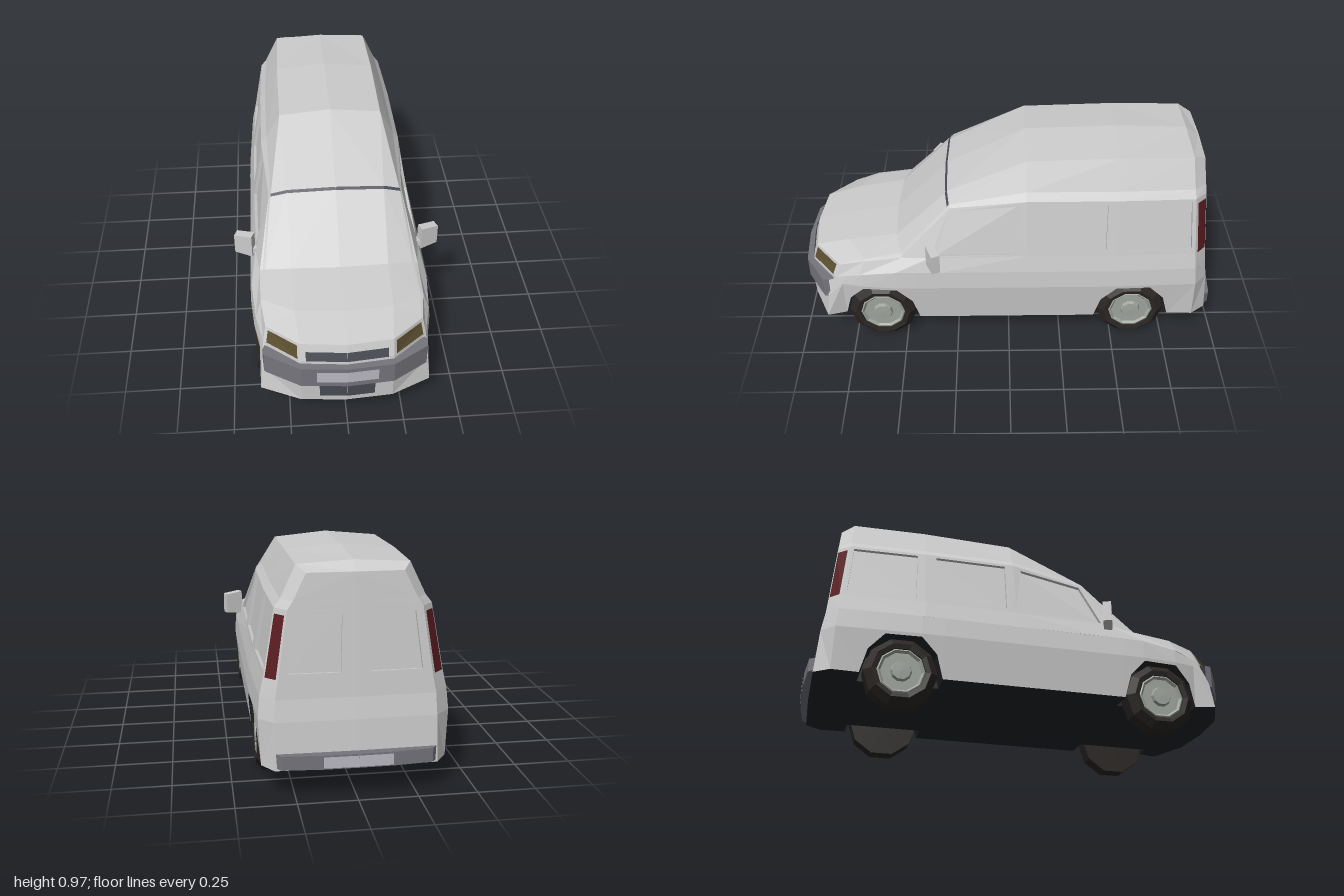
import * as THREE from 'three';

const mat = (color) => new THREE.MeshStandardMaterial({ color, flatShading: true, side: THREE.DoubleSide });
const GREY = mat(0xcccccc), DARK = mat(0x222426), TRIM = mat(0x77757d), GRILLE = mat(0x4a4c54);
const PLATE = mat(0xbcbac4), LAMP = mat(0x5c4f30), TAIL = mat(0x5a1c20), TYRE = mat(0x2a2624), HUB = mat(0xa0a69e);

const lerp = (a, b, t) => a + (b - a) * t;
const lerp3 = (a, b, t) => a.map((v, i) => lerp(v, b[i], t));

// Adds a quad and its mirror image across x = 0
function quad(pos, a, b, c, d) {
  const m = (p) => [-p[0], p[1], p[2]];
  pos.push(...a, ...b, ...c, ...a, ...c, ...d);
  pos.push(...m(a), ...m(c), ...m(b), ...m(a), ...m(d), ...m(c));
}

// Corners of a sub-rectangle of grid cell (i, j), pushed along the cell normal
function cellRect(cols, i, j, [u0, u1, v0, v1], off = 0) {
  const a = cols[i][j], b = cols[i + 1][j], c = cols[i + 1][j + 1], d = cols[i][j + 1];
  const at = (u, v) => lerp3(lerp3(a, b, u), lerp3(d, c, u), v);
  const V = (p) => new THREE.Vector3(...p);
  const n = V(c).sub(V(a)).cross(V(b).sub(V(d))).normalize().multiplyScalar(off);
  return [at(u1, v0), at(u0, v0), at(u0, v1), at(u1, v1)]
    .map((p) => [p[0] + n.x, p[1] + n.y, p[2] + n.z]);
}

// Skins columns of points; cells listed in windows become recessed panes
function skin(cols, windows = {}, j0 = 0, j1 = cols[0].length - 1) {
  const pos = [];
  for (let i = 0; i < cols.length - 1; i++) {
    for (let j = j0; j < j1; j++) {
      const O = cellRect(cols, i, j, [0, 1, 0, 1]);
      const w = windows[i + ',' + j];
      if (!w) { quad(pos, ...O); continue; }
      const I = cellRect(cols, i, j, w), P = cellRect(cols, i, j, w, -0.014);
      for (let k = 0; k < 4; k++) {
        const n = (k + 1) % 4;
        quad(pos, O[k], O[n], I[n], I[k]);
        quad(pos, I[k], I[n], P[n], P[k]);
      }
      quad(pos, ...P);
    }
  }
  return pos;
}

function mesh(name, pos, material) {
  const g = new THREE.BufferGeometry();
  g.setAttribute('position', new THREE.Float32BufferAttribute(pos, 3));
  g.computeVertexNormals();
  const m = new THREE.Mesh(g, material);
  m.name = name;
  return m;
}

function patch(name, cols, cells, rect, material) {
  const pos = [];
  for (const [i, j] of cells) quad(pos, ...cellRect(cols, i, j, rect, 0.004));
  return mesh(name, pos, material);
}

// Half cross-section [x, y]: belt, window sill, window top, gutter, roof edge, roof centre
const PROFILE = [[0.401, 0.42], [0.383, 0.5], [0.333, 0.778], [0.306, 0.812], [0.24, 0.947], [0, 0.97]];

// Upper body columns, from rear centre round the side to nose centre
function upperColumns() {
  // Rear columns lean forward with height and are capped below the roof
  const rear = (z, width, cap) => PROFILE.map(([x, y]) => {
    const h = Math.min(y, cap);
    return [x * width, h, z + (h - 0.42) * 0.08];
  });
  const side = (z, drop) => PROFILE.map(([x, y]) => [x, y > 0.9 ? y - drop : y, z]);
  const nose = (belt, edge, tip) => [belt, edge, edge, edge, edge, tip];
  const hoodMid = [0.2, 0.435, 0.92], hoodTip = [0, 0.435, 0.94];

  const header = [[0.402, 0.42, 0.32], [0.378, 0.49, 0.37], [0.305, 0.725, 0.27],
    [0.295, 0.738, 0.27], [0.22, 0.762, 0.28], [0, 0.772, 0.285]];
  const cowl = [[0.4, 0.42, 0.53], [0.36, 0.48, 0.5], [0.345, 0.487, 0.5],
    [0.335, 0.49, 0.505], [0.22, 0.51, 0.53], [0, 0.513, 0.54]];
  const hoodCorner = [0.335, 0.43, 0.79];
  const hoodEnd = [[0.355, 0.36, 0.82], [0.342, 0.425, 0.795], hoodCorner, hoodCorner, hoodMid, hoodTip];
  // The hood bulges a little between cowl and nose
  const hood = cowl.map((p, i) => {
    const [x, y, z] = lerp3(p, hoodEnd[i], 0.6);
    return [x * 1.03, y + 0.01, z];
  });
  return [
    rear(-0.935, 0, 0.922), rear(-0.93, 0.82, 0.922), rear(-0.875, 0.965, 0.96),
    side(-0.5, 0), side(-0.08, 0.012), header, cowl, hood, hoodEnd,
    nose([0.2, 0.36, 0.945], hoodMid, hoodTip), nose([0, 0.36, 0.965], hoodTip, hoodTip),
  ];
}

// Lower body columns: floor centre, floor edge, arch inner, sill, flank, belt
function lowerColumns(upper) {
  const belt = upper.map((c) => c[0]), run = belt.slice(2, 9);
  const beltAt = (z) => {
    const k = Math.max(1, run.findIndex((p) => p[2] >= z));
    return lerp3(run[k - 1], run[k], (z - run[k - 1][2]) / (run[k][2] - run[k - 1][2]));
  };
  const col = (sill, flank, top) => {
    const fx = Math.min(0.28, sill[0]);
    return [[0, 0.13, sill[2]], [fx, 0.13, sill[2]], [fx, sill[1], sill[2]], sill, flank, top];
  };
  const cols = [
    col([0, 0.13, -0.965], [0, 0.33, -0.95], belt[0]),
    col([0.335, 0.13, -0.96], [0.332, 0.33, -0.945], belt[1]),
    col([0.385, 0.13, -0.89], [0.395, 0.33, -0.885], belt[2]),
  ];
  // The sill line rises over each wheel
  const arch = [[-0.18, 0.13], [-0.15, 0.24], [-0.08, 0.315], [0.08, 0.315], [0.15, 0.24], [0.18, 0.13]];
  for (const zc of [-0.59, 0.61]) {
    for (const [dz, y] of arch) {
      const z = zc + dz, b = beltAt(z);
      cols.push(col([b[0] + lerp(-0.01, 0.008, (y - 0.13) / 0.2), y, z], [b[0] + 0.008, 0.33, z], b));
    }
  }
  cols.push(
    col([0.375, 0.13, 0.88], [0.365, 0.25, 0.865], belt[8]),
    col([0.2, 0.13, 0.96], [0.2, 0.25, 0.965], belt[9]),
    col([0, 0.13, 0.975], [0, 0.25, 0.98], belt[10]),
  );
  return cols;
}

// Bumper bar wrapped around a plan outline; back offsets its inner edge
const bumperCols = (plan, y0, y1, back) => plan.map(([x, z]) => [
  [x * 0.93, y0, z + back], [x, y0, z], [x, y1, z], [x * 0.93, y1, z + back]]);

function wheel(side, z) {
  const g = new THREE.Group();
  g.name = 'wheel';
  const lathe = (name, pts, m) => {
    const part = new THREE.Mesh(new THREE.LatheGeometry(pts.map((p) => new THREE.Vector2(...p)), 10), m);
    part.name = name;
    g.add(part);
  };
  lathe('tyre', [[0, 0], [0.163, 0], [0.163, 0.075], [0.13, 0.105], [0.108, 0.1], [0.104, 0.085]], TYRE);
  lathe('rim', [[0.11, 0.092], [0.1, 0.098], [0.09, 0.088], [0.048, 0.088], [0.042, 0.103], [0, 0.105]], HUB);
  g.rotation.z = -side * Math.PI / 2;
  g.position.set(side * 0.285, 0.155, z);
  return g;
}

function mirrorUnit(side) {
  const g = new THREE.Group();
  g.name = 'doorMirror';
  const geo = new THREE.BoxGeometry(0.085, 0.115, 0.04);
  const p = geo.attributes.position;
  // Outer end slightly shorter than the inner end
  for (let i = 0; i < p.count; i++) if (p.getX(i) * side > 0) p.setY(i, p.getY(i) * 0.85);
  const shell = new THREE.Mesh(geo, GREY);
  shell.name = 'mirrorShell';
  shell.position.set(side * 0.425, 0.522, 0.35);
  shell.rotation.y = side * 0.38;
  const stalk = new THREE.Mesh(new THREE.BoxGeometry(0.05, 0.03, 0.03), GREY);
  stalk.name = 'mirrorStalk';
  stalk.position.set(side * 0.385, 0.49, 0.36);
  g.add(shell, stalk);
  return g;
}

export function createModel() {
  const van = new THREE.Group();
  van.name = 'van';
  const upper = upperColumns(), lower = lowerColumns(upper);

  // Body shell with recessed rear-door and side windows
  const windows = { '0,1': [0.2, 0.88, 0.08, 0.93], '2,1': [0.05, 0.89, 0.07, 0.95],
    '3,1': [0.12, 0.9, 0.07, 0.95], '4,1': [0.1, 0.93, 0.04, 0.93] };
  van.add(mesh('upperBody', skin(upper, windows), GREY));
  van.add(mesh('lowerBody', skin(lower, {}, 3, 5), GREY));
  van.add(mesh('underbody', skin(lower, {}, 0, 3), DARK));

  // Lamps, grilles and windscreen seal
  van.add(patch('headlights', upper, [[8, 0]], [0.1, 0.94, 0.06, 0.86], LAMP));
  van.add(patch('tailLights', upper, [[1, 1]], [0.12, 0.85, 0, 0.92], TAIL));
  van.add(patch('grille', upper, [[9, 0]], [0.12, 1, 0, 0.55], GRILLE));
  van.add(patch('lowerGrille', lower, [[lower.length - 2, 3]], [0.4, 1, 0.25, 0.95], GRILLE));
  van.add(patch('windscreenSeal', upper, [[5, 3], [5, 4]], [0, 0.04, 0, 1], GRILLE));

  // Bumpers with blank plates
  const front = bumperCols([[0.36, 0.855], [0.355, 0.885], [0.2, 0.98], [0, 0.996]], 0.24, 0.345, -0.06);
  const rear = bumperCols([[0, -0.996], [0.15, -0.994], [0.31, -0.98], [0.372, -0.9]], 0.14, 0.2, 0.06);
  van.add(mesh('frontBumper', skin(front), TRIM), mesh('rearBumper', skin(rear), TRIM));
  van.add(patch('frontPlate', front, [[2, 1]], [0.34, 1, 0.28, 0.85], PLATE));
  van.add(patch('rearPlate', rear, [[0, 1]], [0, 0.95, 0.1, 0.9], PLATE));

  for (const side of [1, -1]) {
    van.add(mirrorUnit(side), wheel(side, 0.61), wheel(side, -0.59));
  }
  return van;
}
